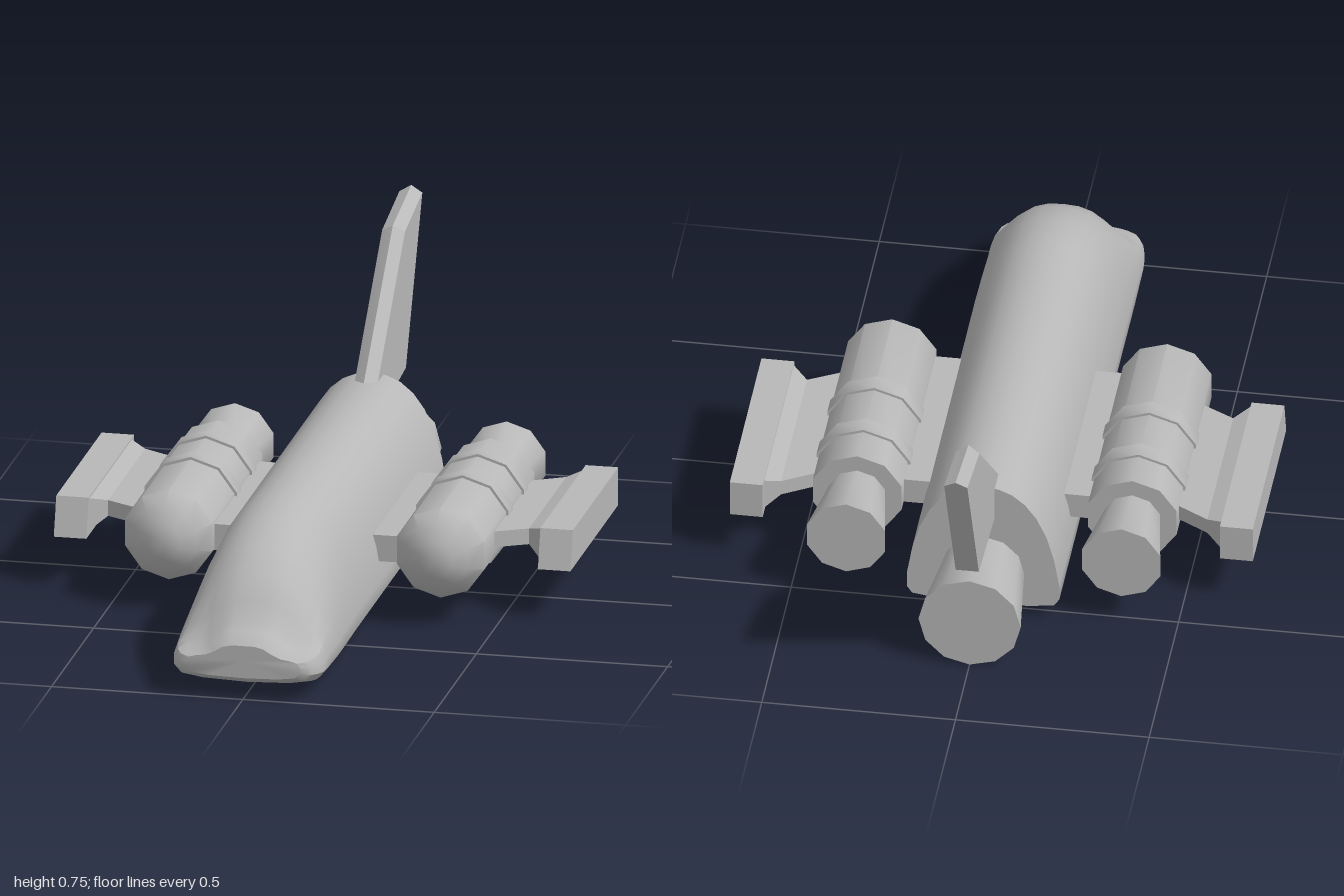
import * as THREE from 'three';
import { toCreasedNormals } from 'three/addons/utils/BufferGeometryUtils.js';

const grey = new THREE.MeshStandardMaterial({ color: 0xb8b8b8 });
grey.name = 'hullGrey';

function addMesh(parent, name, geometry, crease = 0.6) {
  const mesh = new THREE.Mesh(toCreasedNormals(geometry, crease), grey);
  mesh.name = name;
  parent.add(mesh);
  return mesh;
}

// Skin a row of closed rings (clockwise seen from the end they advance to) and cap both ends
function loft(rings) {
  const pos = [], n = rings[0].length;
  const tri = (...p) => p.forEach(q => pos.push(...q));
  const middle = ring => [0, 1, 2].map(k => ring.reduce((s, p) => s + p[k], 0) / n);
  const first = rings[0], last = rings[rings.length - 1];
  const m0 = middle(first), m1 = middle(last);
  for (let j = 0; j < n; j++) {
    const k = (j + 1) % n;
    for (let i = 0; i < rings.length - 1; i++) {
      const a = rings[i][j], b = rings[i][k], c = rings[i + 1][k], d = rings[i + 1][j];
      tri(a, d, b);
      tri(b, d, c);
    }
    tri(m0, first[j], first[k]);
    tri(m1, last[k], last[j]);
  }
  const g = new THREE.BufferGeometry();
  g.setAttribute('position', new THREE.Float32BufferAttribute(pos, 3));
  return g;
}

// Turned part lying along z; profile is [radius, z] from back to front
function turned(profile, sides) {
  const g = new THREE.LatheGeometry(profile.map(([r, z]) => new THREE.Vector2(r, z)), sides);
  return g.rotateX(Math.PI / 2);
}

// Half cross-sections as fractions of half width and height, top to bottom
const DOME = [[0, 1], [0.2, 0.985], [0.38, 0.945], [0.55, 0.87], [0.7, 0.76], [0.83, 0.61],
  [0.93, 0.42], [1, 0.2], [1, 0.09], [0.93, 0.035], [0.6, 0.01], [0, 0]];
const LIP = [[0, 1], [0.2, 1], [0.36, 0.93], [0.5, 0.78], [0.66, 0.66], [0.82, 0.62],
  [0.95, 0.56], [1, 0.42], [1, 0.25], [0.9, 0.1], [0.6, 0.03], [0, 0]];

// Fuselage stations: z, half width, top, bottom, blend from dome to lip
const STATIONS = [
  [-0.53, 0.197, 0.4, 0.03, 0], [0.54, 0.197, 0.4, 0.03, 0],
  [0.66, 0.197, 0.38, 0.03, 0], [0.76, 0.197, 0.345, 0.03, 0.05],
  [0.84, 0.197, 0.295, 0.03, 0.25], [0.9, 0.197, 0.235, 0.031, 0.55],
  [0.93, 0.195, 0.19, 0.033, 0.85], [0.96, 0.188, 0.175, 0.038, 1],
  [0.985, 0.174, 0.16, 0.047, 1], [1, 0.15, 0.146, 0.06, 1],
];

function fuselage() {
  return loft(STATIONS.map(([z, w, top, bottom, t]) => {
    const half = DOME.map(([x, y], i) => [
      w * THREE.MathUtils.lerp(x, LIP[i][0], t),
      bottom + (top - bottom) * THREE.MathUtils.lerp(y, LIP[i][1], t), z]);
    const other = half.slice(1, -1).reverse().map(([x, y]) => [-x, y, z]);
    return [...half, ...other];
  }));
}

// Fin outline as [z, y]; the middle slice makes the ridge on the leading and top edges
function tailFin() {
  const side = [[-0.45, 0.38], [-0.79, 0.698], [-0.995, 0.738], [-0.8, 0.33], [-0.53, 0.305]];
  const ridge = [[-0.43, 0.395], [-0.78, 0.715], [-1, 0.755], [-0.8, 0.33], [-0.53, 0.305]];
  return loft([[-0.03, side], [0, ridge], [0.03, side]]
    .map(([x, line]) => line.map(([z, y]) => [x, y, z])));
}

// Four-cornered section across x
const slab = (x, y0, y1, back, frontTop, frontBottom = frontTop) =>
  [[x, y1, frontTop], [x, y1, back], [x, y0, back], [x, y0, frontBottom]];

function sideAssembly(side) {
  const group = new THREE.Group();
  group.name = side > 0 ? 'leftBooster' : 'rightBooster';
  const across = sections => loft((side > 0 ? sections : [...sections].reverse())
    .map(ring => ring.map(([x, y, z]) => [x * side, y, z])));
  const along = (name, profile, crease) =>
    addMesh(group, name, turned(profile, 10), crease).position.set(side * 0.355, 0.19, 0);

  // Booster tank with rounded nose, bands and nozzle
  along('boosterTank', [[0, -0.33], [0.12, -0.33], [0.12, 0.265],
    [0.085, 0.305], [0.045, 0.33], [0, 0.338]], 0.75);
  for (const z of [-0.225, -0.043]) {
    along('boosterBand', [[0.115, z], [0.127, z], [0.127, z + 0.05], [0.115, z + 0.05]], 0.75);
  }
  along('boosterNozzle', [[0, -0.52], [0.106, -0.52], [0.073, -0.32], [0, -0.32]], 0.75);

  // Strut to the fuselage
  addMesh(group, 'innerStrut', across([
    slab(0.15, 0.15, 0.22, -0.29, 0.245), slab(0.27, 0.15, 0.22, -0.29, 0.245)]));
  // Flared wing carrying the outer rail
  addMesh(group, 'outerWing', across([
    slab(0.43, 0.175, 0.217, -0.27, 0.165), slab(0.55, 0.175, 0.217, -0.34, 0.1),
    slab(0.592, 0.145, 0.232, -0.365, 0.14)]), 0.2);
  addMesh(group, 'wingtipRail', across([
    slab(0.59, 0.135, 0.236, -0.39, 0.148, 0.178),
    slab(0.675, 0.135, 0.236, -0.39, 0.148, 0.178)]));
  return group;
}

export function createModel() {
  const model = new THREE.Group();
  model.name = 'spaceShuttle';
  addMesh(model, 'fuselage', fuselage(), 0.65);
  addMesh(model, 'tailFin', tailFin(), 0.2);
  addMesh(model, 'mainNozzle', turned(
    [[0, -0.76], [0.132, -0.76], [0.105, -0.52], [0, -0.52]], 12)).position.y = 0.135;
  for (const side of [1, -1]) model.add(sideAssembly(side));
  return model;
}
